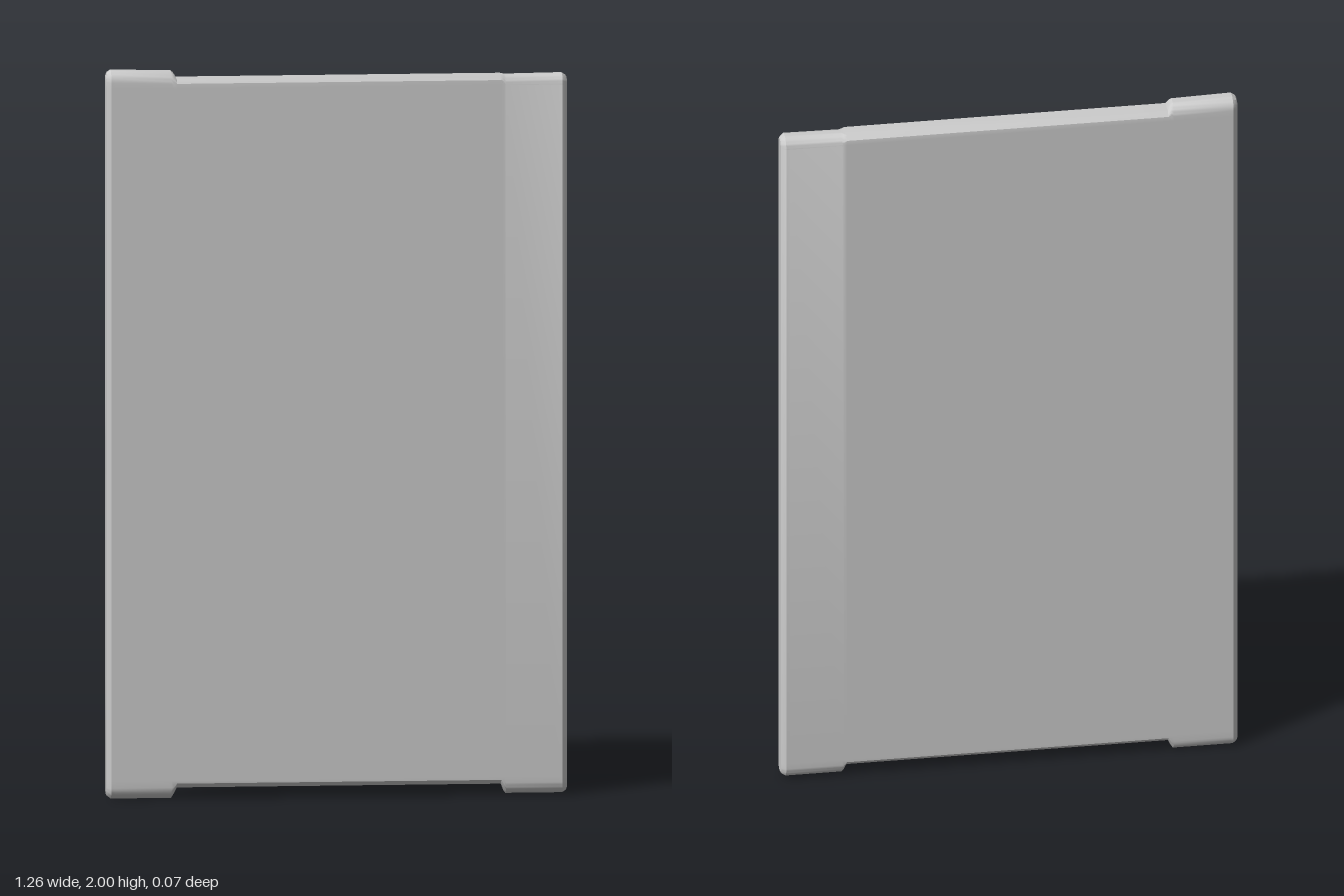
import * as THREE from 'three';
import { toCreasedNormals } from 'three/addons/utils/BufferGeometryUtils.js';

const ARC = 8; // segments per corner
const FLAT = [0.05, 1.95]; // the broad faces are flat between these heights

// Cross-section in the y-z plane: corners are round, or straight chamfers if power is 2
function ring(x, bottom, top, half, rBottom, rTop, power = 1) {
  const pts = [];
  const corners = [
    [top, rTop, 1, 1], [top, rTop, 1, -1],
    [bottom, rBottom, -1, -1], [bottom, rBottom, -1, 1],
  ];
  corners.forEach(([end, r, sy, sz], c) => {
    const support = [x, FLAT[sy > 0 ? 1 : 0], sz * half];
    if (c % 2 === 0) pts.push(support);
    for (let i = 0; i <= ARC; i++) {
      const t = (c % 2 ? ARC - i : i) / ARC * Math.PI / 2;
      const up = Math.sin(t) ** power, out = Math.abs(Math.cos(t)) ** power;
      pts.push([x, end - sy * r * (1 - up), sz * (half - r * (1 - out))]);
    }
    if (c % 2) pts.push(support);
  });
  return pts;
}

// Skin a row of cross-sections and close both ends
function loft(rings) {
  const n = rings[0].length, index = [];
  const last = (rings.length - 1) * n;
  for (let s = 0; s < last; s += n) {
    for (let i = 0; i < n; i++) {
      const a = s + i, b = s + (i + 1) % n;
      index.push(a, a + n, b, b, a + n, b + n);
    }
  }
  for (let i = 1; i < n - 1; i++) {
    index.push(0, i, i + 1);
    index.push(last, last + i + 1, last + i);
  }
  const g = new THREE.BufferGeometry();
  g.setAttribute('position', new THREE.Float32BufferAttribute(rings.flat(2), 3));
  g.setIndex(index);
  return toCreasedNormals(g, 0.5);
}

export function createModel() {
  const group = new THREE.Group();
  group.name = 'panel';
  const H = 0.035;

  // Stations across the width: x, bottom, top, half depth, bottom radius, top radius, power
  const stations = [
    [-0.629, 0.013, 1.988, 0.022, 0.02, 0.02],    // chamfered right side
    [-0.626, 0.007, 1.994, 0.027, 0.025, 0.025],
    [-0.616, 0, 2, H, 0.032, 0.032],
    [-0.606, 0, 2, H, 0.032, 0.032],
    [-0.452, 0, 1.996, H, 0.032, 0.032],          // end of the right tabs
    [-0.446, 0.010, 1.991, H, 0.028, 0.028],
    [-0.437, 0.031, 1.976, H, 0.012, 0.012, 2],   // recessed middle
    [0.447, 0.031, 1.976, H, 0.012, 0.012, 2],
    [0.455, 0.010, 1.976, H, 0.028, 0.025],       // start of the left tabs
    [0.460, 0.003, 1.976, H, 0.032, 0.030],
    [0.604, 0.003, 1.978, H, 0.032, 0.030],
    [0.614, 0.003, 1.978, H, 0.032, 0.030],
    [0.624, 0.009, 1.972, 0.027, 0.025, 0.025],   // chamfered left side
    [0.627, 0.014, 1.967, 0.022, 0.02, 0.02],
  ];

  const slab = new THREE.Mesh(
    loft(stations.map((s) => ring(...s))),
    new THREE.MeshStandardMaterial({ color: 0xcccccc }),
  );
  slab.name = 'notchedSlab';
  group.add(slab);
  return group;
}
